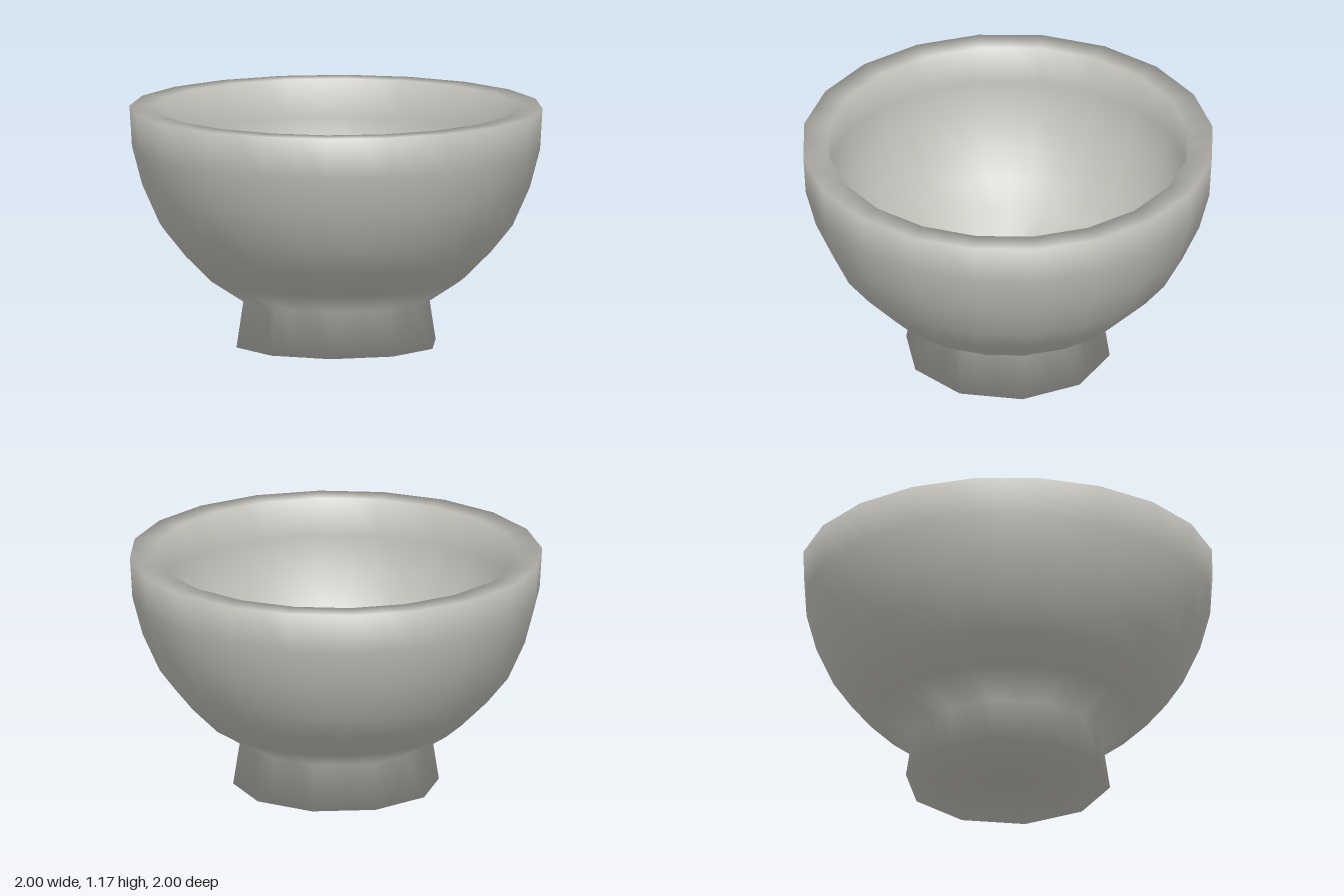
import * as THREE from 'three';
import { mergeVertices } from 'three/addons/utils/BufferGeometryUtils.js';

// Radius at an angle of a regular polygon whose first corner lies at startDegrees.
function polygonRadius(radius, sides, startDegrees, angle) {
  const sector = (2 * Math.PI) / sides;
  const turned = angle - THREE.MathUtils.degToRad(startDegrees) + 4 * Math.PI;
  return (radius * Math.cos(sector / 2)) / Math.cos((turned % sector) - sector / 2);
}

// Cross-section shapes: [number of sides, angle of first corner]
const BOWL = [20, 9];
const FOOT = [10, 45];
const WELL = [8, 0];

// Profile: [radius, height, cross-section], up the outside and down the inside
const profile = [
  // Flat underside and flared foot
  [0, 0, FOOT], [0.505, 0, FOOT], [0.47, 0.225, FOOT],
  // Outer wall
  [0.63, 0.33, BOWL], [0.76, 0.46, BOWL], [0.865, 0.59, BOWL],
  [0.95, 0.78, BOWL], [1.0, 0.97, BOWL], [1.012, 1.17, BOWL],
  // Rim and inner wall
  [0.89, 1.17, BOWL], [0.88, 0.98, BOWL], [0.835, 0.82, BOWL],
  [0.76, 0.66, BOWL], [0.67, 0.545, BOWL], [0.56, 0.425, BOWL],
  // Eight-sided well sunk into the foot
  [0.355, 0.295, WELL], [0.375, 0.12, WELL], [0, 0.12, WELL],
];

export function createModel() {
  const group = new THREE.Group();
  group.name = 'footedBowl';
  const stone = new THREE.MeshStandardMaterial({ color: 0xc0bfb8 });
  stone.name = 'warmGrey';

  // Revolve the profile, then give every ring its own polygon shape
  const segments = 40;
  const points = profile.map(([r, y]) => new THREE.Vector2(r, y));
  const lathe = new THREE.LatheGeometry(points, segments);
  const position = lathe.attributes.position;
  for (let i = 0; i < position.count; i++) {
    const [radius, y, [sides, start]] = profile[i % profile.length];
    const step = Math.floor(i / profile.length) % segments;
    const angle = (step / segments) * Math.PI * 2;
    const r = polygonRadius(radius, sides, start, angle);
    position.setXYZ(i, r * Math.sin(angle), y, r * Math.cos(angle));
  }

  // Weld the seam so the whole surface is smooth
  lathe.deleteAttribute('uv');
  lathe.deleteAttribute('normal');
  const geometry = mergeVertices(lathe);
  geometry.computeVertexNormals();

  const bowl = new THREE.Mesh(geometry, stone);
  bowl.name = 'bowlWithFoot';
  group.add(bowl);
  return group;
}
